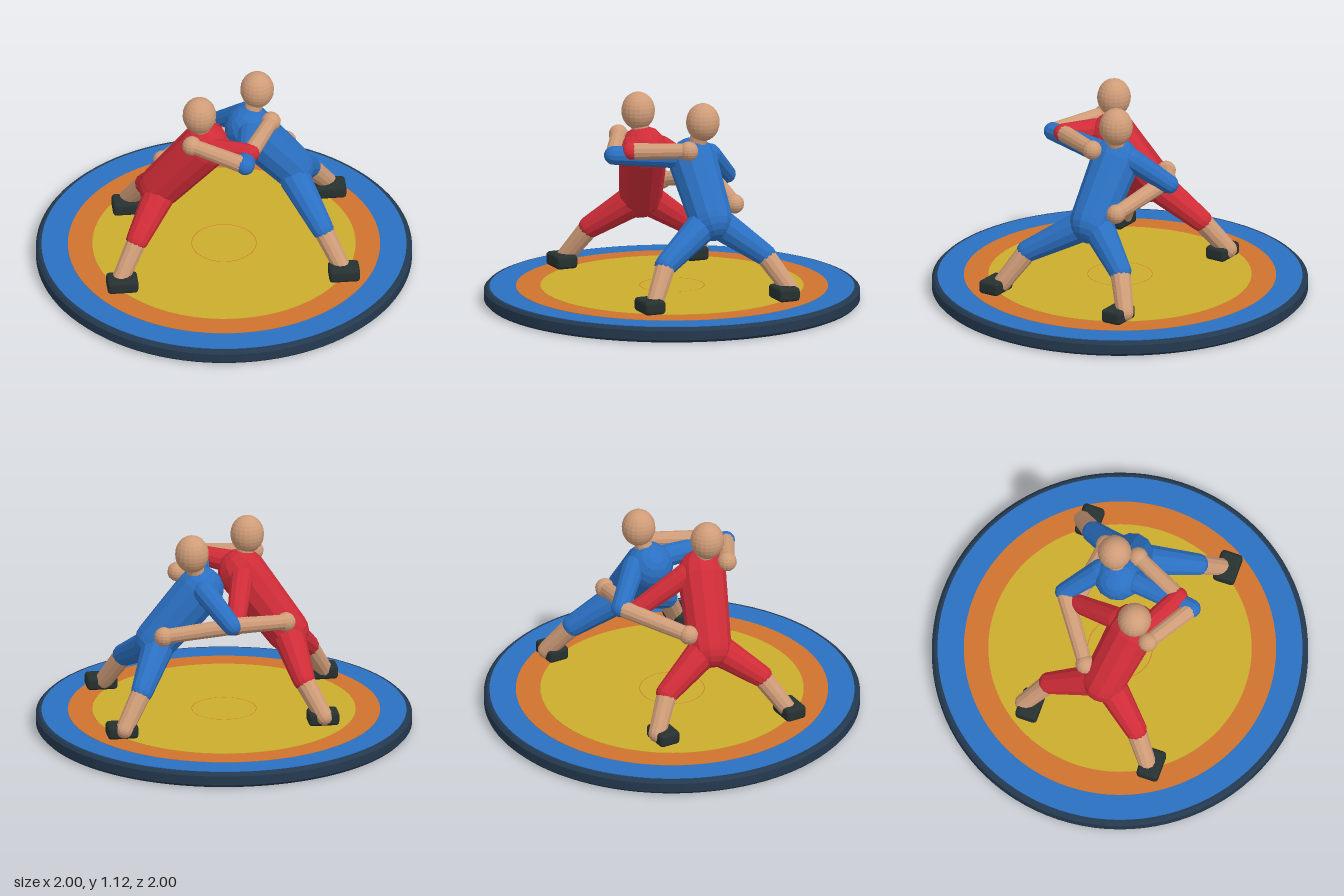
import * as THREE from 'three';
import { RoundedBoxGeometry } from 'three/addons/geometries/RoundedBoxGeometry.js';

const V = (p) => new THREE.Vector3(...p);

function makeMaterial(name, color) {
  const m = new THREE.MeshStandardMaterial({ color });
  m.name = name;
  m.flatShading = true;
  return m;
}

function addMesh(parent, name, geometry, material, position = [0, 0, 0]) {
  const mesh = new THREE.Mesh(geometry, material);
  mesh.name = name;
  mesh.position.set(...position);
  parent.add(mesh);
  return mesh;
}

// Tapered capsule running from point a (radius ra) to point b (radius rb)
function addLimb(parent, name, a, b, ra, rb, material, sides = 12) {
  const dir = V(b).sub(V(a));
  const len = dir.length();
  const points = [];
  const steps = 5;
  for (let i = 0; i <= steps; i++) {
    const t = (i / steps) * Math.PI / 2;
    points.push(new THREE.Vector2(ra * Math.sin(t), -ra * Math.cos(t)));
  }
  for (let i = 0; i <= steps; i++) {
    const t = (i / steps) * Math.PI / 2;
    points.push(new THREE.Vector2(rb * Math.cos(t), len + rb * Math.sin(t)));
  }
  const mesh = addMesh(parent, name, new THREE.LatheGeometry(points, sides), material, a);
  mesh.quaternion.setFromUnitVectors(new THREE.Vector3(0, 1, 0), dir.normalize());
  return mesh;
}

function buildWrestler(name, suit, skin, shoe, pose) {
  const body = new THREE.Group();
  body.name = name;

  addLimb(body, 'torso', pose.hip, pose.chest, 0.115, 0.13, suit);
  addLimb(body, 'neck', pose.chest, pose.head, 0.05, 0.045, skin);
  const head = addMesh(body, 'head', new THREE.SphereGeometry(0.09, 20, 14), skin, pose.head);
  head.scale.y = 1.13;

  for (const leg of pose.legs) {
    addLimb(body, 'thigh', leg.hip, leg.knee, 0.085, 0.06, suit);
    addLimb(body, 'shin', leg.knee, leg.ankle, 0.055, 0.047, skin);
    addMesh(body, 'shoe', new RoundedBoxGeometry(0.165, 0.075, 0.12, 2, 0.02), shoe, leg.shoe);
  }
  for (const arm of pose.arms) {
    addLimb(body, 'upperArm', arm.shoulder, arm.elbow, 0.062, 0.05, suit);
    addLimb(body, 'forearm', arm.elbow, arm.hand, 0.046, 0.04, skin);
    addMesh(body, 'hand', new THREE.SphereGeometry(0.052, 14, 10), skin, arm.hand);
  }
  return body;
}

export function createModel() {
  const model = new THREE.Group();
  model.name = 'wrestlers';

  const navy = makeMaterial('navy', 0x24394f);
  const blue = makeMaterial('blue', 0x2b70c2);
  const orange = makeMaterial('orange', 0xd0722d);
  const yellow = makeMaterial('yellow', 0xcbac2d);
  const red = makeMaterial('red', 0xcf2c37);
  const skin = makeMaterial('skin', 0xcf9c78);
  const shoe = makeMaterial('charcoal', 0x263130);

  // Round mat with bevelled rim
  const rim = [[0, 0], [0.985, 0], [1, 0.015], [1, 0.065], [0.985, 0.08], [0, 0.08]];
  addMesh(model, 'matBase',
    new THREE.LatheGeometry(rim.map((p) => new THREE.Vector2(...p)), 96), navy);

  // Painted mat zones
  const zones = [['outerZone', 0.97, blue], ['warningZone', 0.83, orange], ['innerZone', 0.70, yellow]];
  zones.forEach(([name, r, material], i) => {
    addMesh(model, name, new THREE.CylinderGeometry(r, r, 0.004, 96), material, [0, 0.081 + i * 0.002, 0]);
  });
  const ring = addMesh(model, 'centreRing', new THREE.RingGeometry(0.17, 0.174, 64), orange, [0, 0.0878, 0]);
  ring.rotation.x = -Math.PI / 2;

  // Wrestler on the -x side
  model.add(buildWrestler('redWrestler', red, skin, shoe, {
    hip: [-0.345, 0.5, 0.03], chest: [-0.115, 0.81, 0.115], head: [-0.145, 1.02, 0.132],
    legs: [
      { hip: [-0.36, 0.47, 0.08], knee: [-0.49, 0.325, 0.26], ankle: [-0.59, 0.15, 0.36], shoe: [-0.583, 0.138, 0.38] },
      { hip: [-0.35, 0.47, -0.03], knee: [-0.39, 0.32, -0.26], ankle: [-0.48, 0.15, -0.375], shoe: [-0.48, 0.138, -0.338] },
    ],
    arms: [
      { shoulder: [-0.08, 0.84, 0.2], elbow: [0.11, 0.865, 0.29], hand: [0.25, 0.87, 0.015] },
      { shoulder: [-0.1, 0.82, 0.02], elbow: [-0.025, 0.64, -0.245], hand: [0.355, 0.585, -0.205] },
    ],
  }));

  // Wrestler on the +x side
  model.add(buildWrestler('blueWrestler', blue, skin, shoe, {
    hip: [0.375, 0.515, -0.06], chest: [0.14, 0.785, -0.06], head: [0.187, 1.005, -0.096],
    legs: [
      { hip: [0.38, 0.48, 0.0], knee: [0.5, 0.325, 0.26], ankle: [0.59, 0.15, 0.365], shoe: [0.6, 0.138, 0.397] },
      { hip: [0.38, 0.48, -0.12], knee: [0.49, 0.325, -0.32], ankle: [0.6, 0.15, -0.42], shoe: [0.607, 0.138, -0.382] },
    ],
    arms: [
      { shoulder: [0.13, 0.82, 0.05], elbow: [0.075, 0.845, 0.375], hand: [-0.195, 0.89, 0.225] },
      { shoulder: [0.13, 0.81, -0.16], elbow: [0.005, 0.665, -0.315], hand: [-0.32, 0.59, -0.085] },
    ],
  }));

  return model;
}
